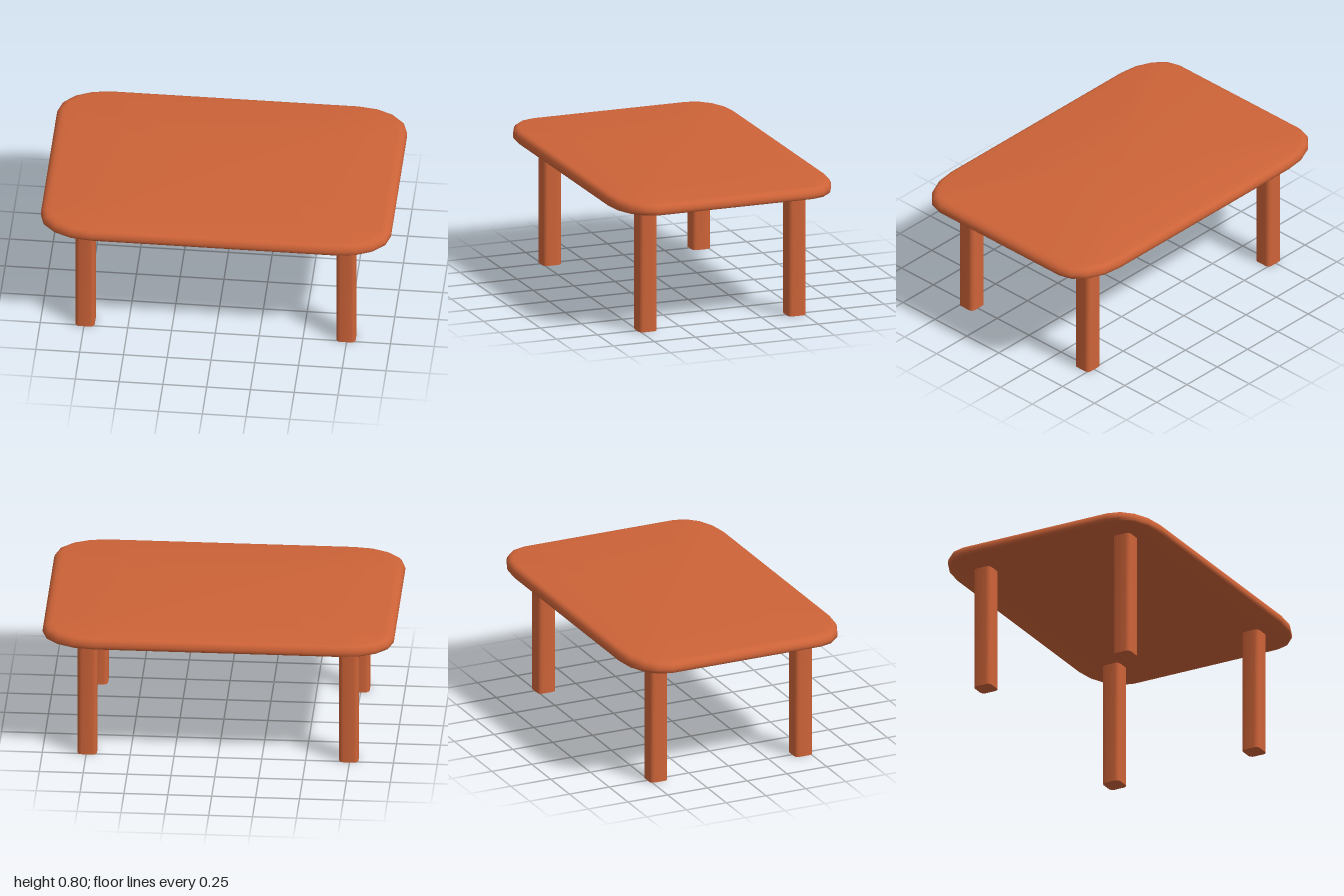
import * as THREE from 'three';
import { toCreasedNormals } from 'three/addons/utils/BufferGeometryUtils.js';

// Rounded rectangle outline with elliptical corners, running from +x towards +z
function outline(hx, hz, rx, rz, segments) {
  const points = [];
  const signs = [[1, 1], [-1, 1], [-1, -1], [1, -1]];
  signs.forEach(([sx, sz], corner) => {
    for (let i = 0; i <= segments; i++) {
      const a = (corner + i / segments) * Math.PI / 2;
      points.push([sx * (hx - rx) + rx * Math.cos(a), sz * (hz - rz) + rz * Math.sin(a)]);
    }
  });
  return points;
}

// Stack outlines from bottom to top and close both ends
function loft(layers, crease) {
  const n = layers[0].ring.length;
  const positions = [];
  const index = [];
  for (const { ring, y } of layers) for (const [x, z] of ring) positions.push(x, y, z);
  const last = (layers.length - 1) * n;
  const bottom = layers.length * n;
  const top = bottom + 1;
  positions.push(0, layers[0].y, 0, 0, layers[layers.length - 1].y, 0);
  for (let i = 0; i < n; i++) {
    const j = (i + 1) % n;
    for (let k = 0; k < last; k += n) {
      index.push(k + i, k + n + i, k + j, k + j, k + n + i, k + n + j);
    }
    index.push(bottom, i, j, top, last + j, last + i);
  }
  const geometry = new THREE.BufferGeometry();
  geometry.setAttribute('position', new THREE.Float32BufferAttribute(positions, 3));
  geometry.setIndex(index);
  return toCreasedNormals(geometry, crease);
}

export function createModel() {
  const group = new THREE.Group();
  group.name = 'table';
  const material = new THREE.MeshStandardMaterial({ color: 0xcd6338 });

  // Tabletop: [inset, height], with a generous upper round-over and a small lower one
  const stretch = 1.5;
  const profile = [
    [0.012, 0.737], [0.004, 0.740], [0, 0.749], [0, 0.764],
    [0.003, 0.778], [0.010, 0.790], [0.021, 0.798], [0.036, 0.801],
  ];
  const layers = profile.map(([inset, y]) => ({
    y,
    ring: outline(1 - inset * stretch, 0.667 - inset, 0.3 - inset * stretch, 0.2 - inset, 4),
  }));
  const tabletop = new THREE.Mesh(loft(layers, 0.8), material);
  tabletop.name = 'tabletop';
  group.add(tabletop);

  // Four square legs with softened corners
  const section = outline(0.055, 0.055, 0.025, 0.025, 4);
  const legGeometry = loft([{ ring: section, y: 0 }, { ring: section, y: 0.74 }], 0.8);
  for (const [name, sx, sz] of [
    ['frontLeftLeg', 1, 1], ['frontRightLeg', -1, 1],
    ['backLeftLeg', 1, -1], ['backRightLeg', -1, -1],
  ]) {
    const leg = new THREE.Mesh(legGeometry, material);
    leg.name = name;
    leg.position.set(sx * 0.745, 0, sz * 0.455);
    group.add(leg);
  }
  return group;
}
